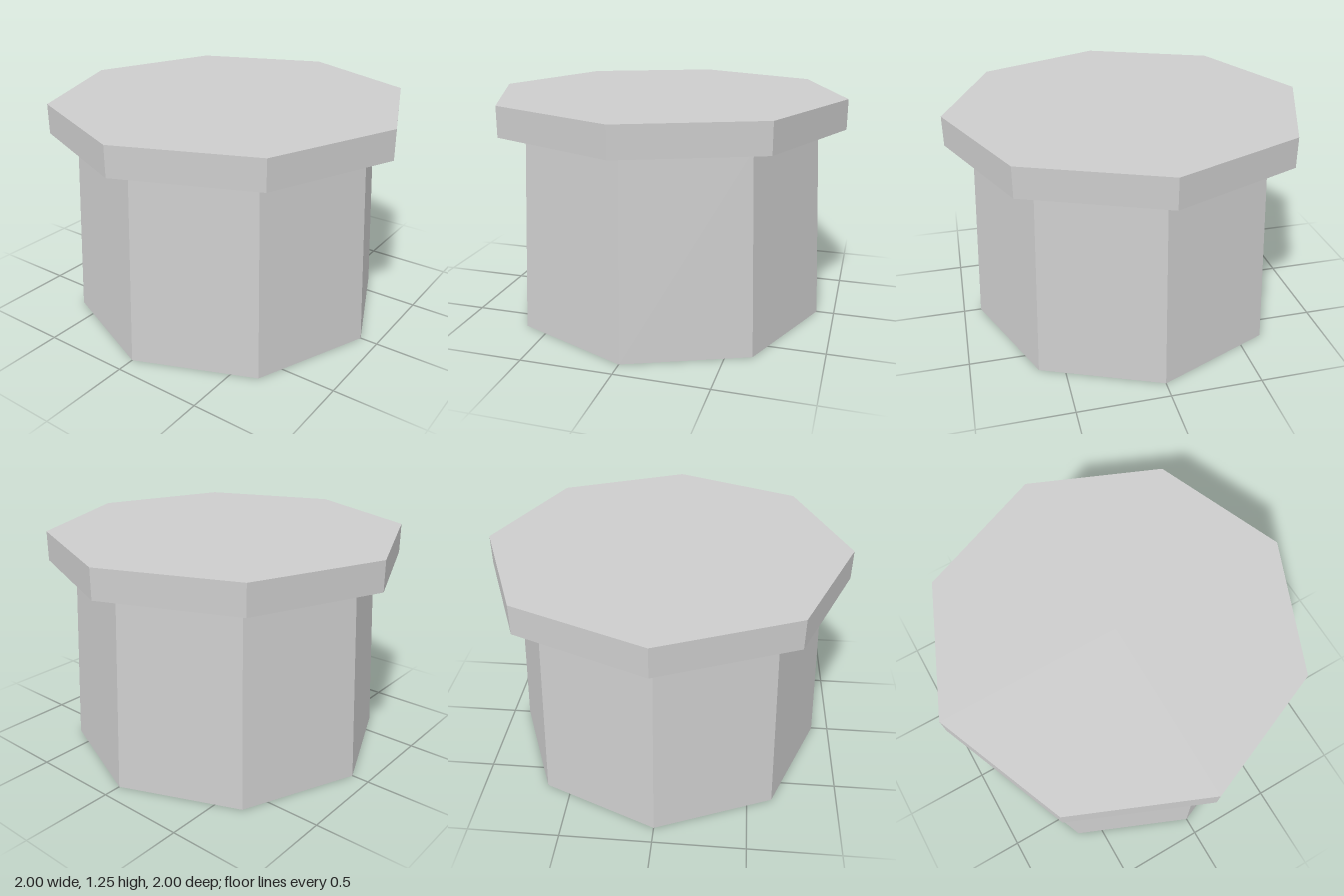
import * as THREE from 'three';

const SIDES = 8;
const CAP_BOTTOM = 1.087;
const CAP_TOP = 1.252;

export function createModel() {
  const group = new THREE.Group();
  group.name = 'octagonalPedestal';

  const grey = new THREE.MeshStandardMaterial({
    color: 0xcccccc, flatShading: true, side: THREE.DoubleSide,
  });
  grey.name = 'light grey';

  // Tapered hollow body, open at the bottom
  const body = new THREE.Mesh(
    new THREE.CylinderGeometry(0.85, 0.902, CAP_BOTTOM, SIDES, 1, true), grey);
  body.name = 'body';
  body.position.y = CAP_BOTTOM / 2;

  // Overhanging flat lid
  const lid = new THREE.Mesh(
    new THREE.CylinderGeometry(1, 1, CAP_TOP - CAP_BOTTOM, SIDES), grey);
  lid.name = 'lid';
  lid.position.y = (CAP_TOP + CAP_BOTTOM) / 2;

  group.add(body, lid);
  return group;
}
